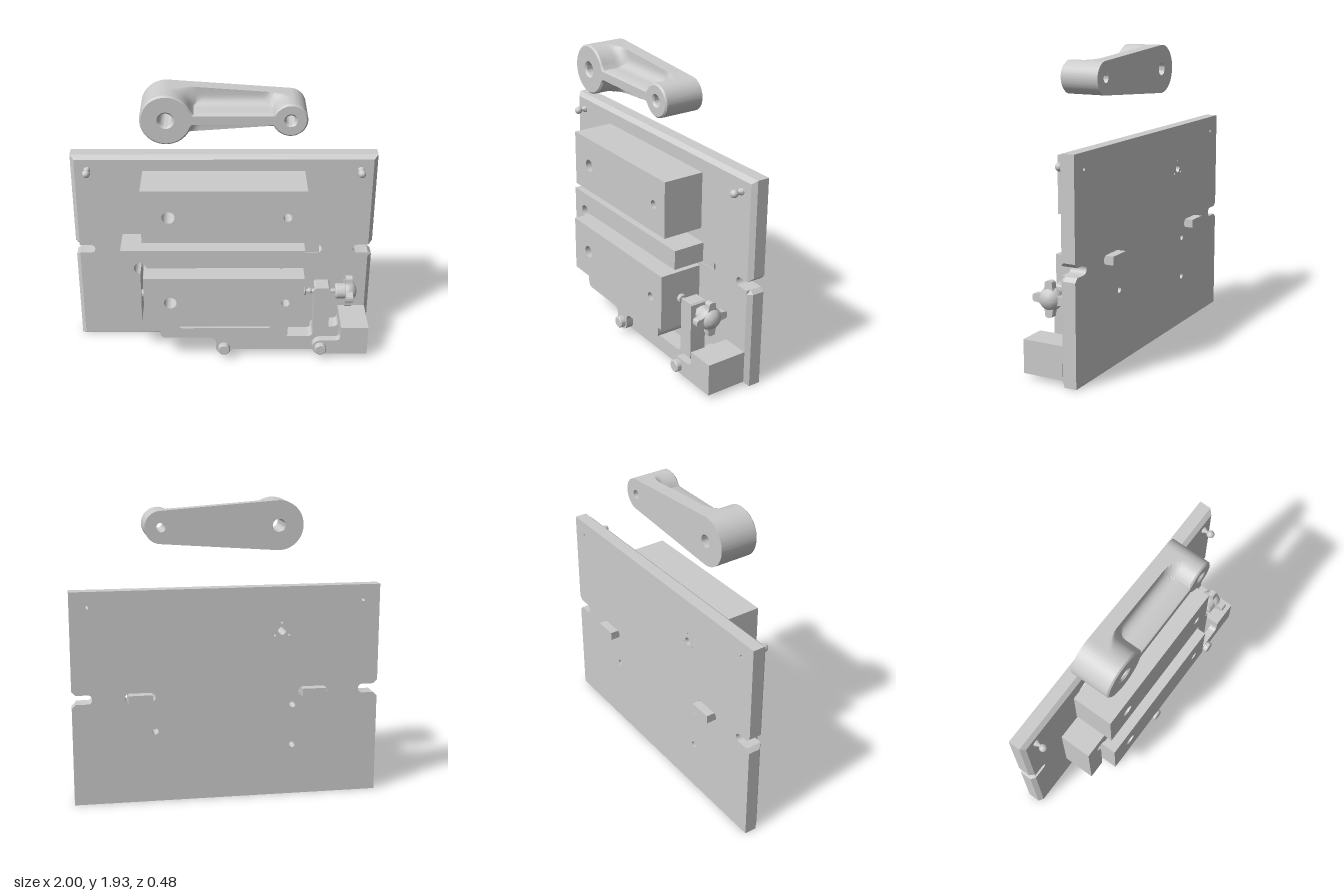
import * as THREE from 'three';
import { toCreasedNormals } from 'three/addons/utils/BufferGeometryUtils.js';

const mat = new THREE.MeshStandardMaterial({ color: 0xcccccc });
const matDouble = new THREE.MeshStandardMaterial({ color: 0xcccccc, side: THREE.DoubleSide });

function add(parent, name, geo, x = 0, y = 0, z = 0, m = mat) {
  const mesh = new THREE.Mesh(geo, m);
  mesh.name = name;
  mesh.position.set(x, y, z);
  parent.add(mesh);
  return mesh;
}

const poly = (pts) => new THREE.Shape(pts.map(([x, y]) => new THREE.Vector2(x, y)));
const rect = (x0, y0, x1, y1) => poly([[x0, y0], [x1, y0], [x1, y1], [x0, y1]]);

function hole(shape, x, y, r) {
  shape.holes.push(new THREE.Path().absarc(x, y, r, 0, Math.PI * 2, true));
  return shape;
}

// Extrude a front profile between two depths
function slab(shape, z0, z1) {
  const g = new THREE.ExtrudeGeometry(shape, { depth: z1 - z0, bevelEnabled: false, curveSegments: 20 });
  return toCreasedNormals(g.translate(0, 0, z0), 0.6);
}

// Turned part; profile is [radius, position along axis]
function turned(points, axis = 'y', segments = 32) {
  const g = new THREE.LatheGeometry(points.map(([r, h]) => new THREE.Vector2(r, h)), segments);
  if (axis === 'x') g.rotateZ(-Math.PI / 2);
  if (axis === 'z') g.rotateX(Math.PI / 2);
  return toCreasedNormals(g, 0.6);
}
const disc = (r, h0, h1, axis, bevel = 0.006) =>
  turned([[0, h0], [r, h0], [r, h1 - bevel], [r - bevel, h1], [0, h1]], axis);

// Base plate: chamfered front rim, side notches, key slots, bolt holes
function basePlate(group) {
  const s = new THREE.Shape();
  s.moveTo(-1, 0).lineTo(1, 0);
  s.lineTo(1, 0.65).lineTo(0.975, 0.675).lineTo(0.9, 0.675);
  s.absarc(0.9, 0.705, 0.03, -Math.PI / 2, Math.PI / 2, true);
  s.lineTo(0.975, 0.735).lineTo(1, 0.76).lineTo(1, 1.4).lineTo(-1, 1.4);
  s.lineTo(-1, 0.76).lineTo(-0.975, 0.735).lineTo(-0.9, 0.735);
  s.absarc(-0.9, 0.705, 0.03, Math.PI / 2, -Math.PI / 2, true);
  s.lineTo(-0.975, 0.675).lineTo(-1, 0.65);
  for (const x of [-0.565, 0.565]) {
    const p = new THREE.Path();
    p.absarc(x - 0.068, 0.705, 0.03, -Math.PI / 2, Math.PI / 2, true);
    p.absarc(x + 0.068, 0.705, 0.03, Math.PI / 2, -Math.PI / 2, true);
    s.holes.push(p);
  }
  for (const [x, y] of [[-0.43, 0.615], [-0.43, 0.34], [0.47, 0.475]]) hole(s, x, y, 0.02);
  for (const x of [-0.89, 0.89]) hole(s, x, 1.3, 0.011);
  hole(s, -0.355, 1.11, 0.026);
  for (let i = 0; i < 3; i++) {
    const a = Math.PI / 2 + i * Math.PI * 2 / 3;
    hole(s, -0.355 + 0.055 * Math.cos(a), 1.11 + 0.055 * Math.sin(a), 0.007);
  }
  const g = new THREE.ExtrudeGeometry(s, { depth: 2, steps: 2, bevelEnabled: false, curveSegments: 16 });
  const p = g.attributes.position;
  for (let i = 0; i < p.count; i++) {
    const layer = Math.round(p.getZ(i));
    if (layer === 2) {
      p.setX(i, THREE.MathUtils.clamp(p.getX(i), -0.973, 0.973));
      p.setY(i, THREE.MathUtils.clamp(p.getY(i), 0.028, 1.374));
    }
    p.setZ(i, [-0.185, -0.105, -0.077][layer]);
  }
  add(group, 'basePlate', toCreasedNormals(g, 0.5));
  for (const x of [-0.565, 0.565])
    add(group, 'backKey', slab(rect(x - 0.078, 0.677, x + 0.078, 0.733), -0.24, -0.08));
}

// Lever arm: hull base, two bosses joined by a rib, filleted pocket floor
function leverArm(group) {
  const a = -0.355, R = 0.16, b = 0.405, r = 0.105, cy = 1.775, n = 120;
  const sin = (R - r) / (b - a), cos = Math.sqrt(1 - sin * sin);
  const circle = (x, c, rad) => Math.sqrt(Math.max(0, rad * rad - (x - c) ** 2));
  const softMax = (u, v, k) => Math.max(u, v) + k * 0.25 * Math.max(0, 1 - Math.abs(u - v) / k) ** 2;
  const hull = (x, inset) => {
    if (x < a + R * sin) return circle(x, a, R - inset);
    if (x > b + r * sin) return circle(x, b, r - inset);
    return (R - inset - sin * (x - a)) / cos;
  };
  const contour = (inset, d) => {
    const x0 = a - R + inset, x1 = b + r - inset, top = [];
    for (let i = 0; i <= n; i++) {
      const x = (x0 + x1) / 2 - (x1 - x0) / 2 * Math.cos(Math.PI * i / n);
      let w = hull(x, inset);
      if (d !== null) {
        const ends = Math.max(circle(x, a, R + d), circle(x, b, r + d));
        w = Math.min(w, softMax(ends, 0.027 + d, 0.07));
      }
      top.push([x, w]);
    }
    return [...top.map(([x, w]) => [x, cy - w]), ...top.slice(1, -1).reverse().map(([x, w]) => [x, cy + w])];
  };
  const levels = [[-0.06, contour(0, null)], [0.03, contour(0, null)]];
  for (let i = 0; i <= 6; i++) {
    const t = i / 6 * Math.PI / 2;
    levels.push([0.03 + 0.07 * (1 - Math.cos(t)), contour(0, 0.07 * (1 - Math.sin(t)))]);
  }
  levels.push([0.195, contour(0, 0)], [0.205, contour(0.01, -0.01)]);
  const pos = [], idx = [], m = levels[0][1].length;
  levels.forEach(([z, c]) => c.forEach(([x, y]) => pos.push(x, y, z)));
  for (let l = 0; l < levels.length - 1; l++)
    for (let i = 0; i < m; i++) {
      const p = l * m + i, q = l * m + (i + 1) % m;
      idx.push(p, q, q + m, p, q + m, p + m);
    }
  const g = new THREE.BufferGeometry();
  g.setAttribute('position', new THREE.Float32BufferAttribute(pos, 3));
  g.setIndex(idx);
  add(group, 'leverArmBody', toCreasedNormals(g, 0.6));
  const cap = (c, big, small) => new THREE.ShapeGeometry(hole(hole(poly(c), a, cy, big), b, cy, small), 24);
  add(group, 'leverArmFront', cap(levels.at(-1)[1], 0.054, 0.042), 0, 0, 0.205);
  add(group, 'leverArmBack', cap(levels[0][1], 0.042, 0.03), 0, 0, -0.06, matDouble);
  for (const [x, rad] of [[a, 0.042], [b, 0.03]])
    add(group, 'leverArmBore', turned([[rad, -0.06], [rad, 0.193], [rad + 0.012, 0.205]], 'z'), x, cy, 0, matDouble);
}

// Knob, screw and swivel pad, running along x
function clampScrew(group) {
  const g = new THREE.Group();
  g.name = 'clampScrew';
  g.position.set(0, 0.475, 0.09);
  add(g, 'swivelPad', disc(0.03, 0.527, 0.55, 'x'));
  add(g, 'swivelNeck', turned([[0.012, 0.55], [0.012, 0.56], [0.02, 0.57], [0.02, 0.58], [0.012, 0.592], [0.016, 0.6], [0.016, 0.76]], 'x'));
  add(g, 'knobHub', turned([[0, 0.745], [0.045, 0.745], [0.053, 0.755], [0.053, 0.82], [0, 0.82]], 'x'));
  add(g, 'knobDome', turned([[0, 0.812], [0.072, 0.812], [0.075, 0.825], [0.072, 0.845], [0.06, 0.867], [0.035, 0.885], [0, 0.892]], 'x'));
  for (let i = 0; i < 4; i++) {
    const arm = new THREE.Shape();
    arm.moveTo(-0.038, 0.05).quadraticCurveTo(-0.025, 0.07, -0.025, 0.1);
    arm.quadraticCurveTo(-0.025, 0.115, 0, 0.115).quadraticCurveTo(0.025, 0.115, 0.025, 0.1);
    arm.quadraticCurveTo(0.025, 0.07, 0.038, 0.05);
    const geo = slab(arm, 0.812, 0.857).rotateZ(i * Math.PI / 2).rotateY(Math.PI / 2);
    add(g, 'knobArm', geo);
  }
  group.add(g);
}

// Rocker profile: U-shaped yoke, optionally with the pivot boss below
function rockerShape(boss) {
  const s = new THREE.Shape();
  s.moveTo(-0.43, 0.285).lineTo(-0.43, 0.205).quadraticCurveTo(-0.43, 0.165, -0.39, 0.165);
  if (boss) {
    s.lineTo(-0.1, 0.165).quadraticCurveTo(-0.055, 0.165, -0.055, 0.12).lineTo(-0.055, 0.085);
    s.absarc(0, 0.085, 0.055, Math.PI, Math.PI * 2, false);
    s.lineTo(0.055, 0.12).quadraticCurveTo(0.055, 0.165, 0.1, 0.165);
  }
  s.lineTo(0.39, 0.165).quadraticCurveTo(0.43, 0.165, 0.43, 0.205).lineTo(0.43, 0.285);
  s.lineTo(0.325, 0.285).quadraticCurveTo(0.32, 0.243, 0.28, 0.243);
  s.lineTo(-0.28, 0.243).quadraticCurveTo(-0.32, 0.243, -0.325, 0.285);
  return s;
}

function clampLinkage(group) {
  // Forked rocker
  add(group, 'rockerBackCheek', slab(rockerShape(true), -0.015, 0.03));
  add(group, 'rockerCore', slab(rockerShape(false), 0.03, 0.145));
  add(group, 'rockerFrontCheek', slab(rockerShape(true), 0.145, 0.197));

  // Bell crank with long arm and upright post
  const c = new THREE.Shape();
  c.moveTo(0, 0.03).lineTo(0.655, 0.03);
  c.absarc(0.655, 0.085, 0.055, -Math.PI / 2, 0, false);
  c.lineTo(0.71, 0.515).lineTo(0.7, 0.525).lineTo(0.615, 0.525).lineTo(0.605, 0.515);
  c.lineTo(0.605, 0.18).quadraticCurveTo(0.605, 0.138, 0.565, 0.138).lineTo(0, 0.138);
  c.absarc(0, 0.084, 0.054, Math.PI / 2, Math.PI * 1.5, false);
  add(group, 'bellCrank', slab(c, 0.032, 0.143));

  // Fixed bracket with two cheeks around the crank pivot
  const k = new THREE.Shape();
  k.moveTo(0.655, 0.03).lineTo(0.975, 0.03).lineTo(0.975, 0.245).lineTo(0.79, 0.245).lineTo(0.79, 0.18);
  k.quadraticCurveTo(0.79, 0.14, 0.75, 0.14).lineTo(0.655, 0.14);
  k.absarc(0.655, 0.085, 0.055, Math.PI / 2, Math.PI * 1.5, false);
  add(group, 'bracketBackCheek', slab(k, -0.077, 0.03));
  add(group, 'bracketCore', slab(rect(0.79, 0.03, 0.975, 0.245), 0.03, 0.145));
  add(group, 'bracketFrontCheek', slab(k, 0.145, 0.197));
  for (const x of [0, 0.655]) add(group, 'pivotPin', disc(0.04, -0.01, 0.232, 'z'), x, 0.085, 0);
}

export function createModel() {
  const group = new THREE.Group();
  group.name = 'clampingFixture';
  basePlate(group);
  leverArm(group);

  // Two drilled blocks
  for (const [name, y0, y1, z0, z1] of [['upperBlock', 0.925, 1.3, -0.06, 0.22], ['lowerBlock', 0.287, 0.665, -0.055, 0.24]]) {
    const s = rect(-0.53, y0, 0.526, y1), y = name === 'upperBlock' ? 1.11 : 0.475;
    add(group, name, slab(hole(hole(s, -0.355, y, 0.042), 0.405, y, 0.028), z0, z1));
  }
  // Seat ring behind the upper block, rest pads behind the lower one
  const ring = hole(new THREE.Shape().absarc(-0.355, 1.11, 0.158, 0, Math.PI * 2), -0.355, 1.11, 0.026);
  add(group, 'seatRing', slab(ring, -0.08, -0.061));
  for (const [x, y] of [[-0.43, 0.615], [-0.43, 0.34], [0.47, 0.475]])
    add(group, 'restPad', disc(0.026, -0.085, -0.055, 'z', 0.004), x, y, 0);

  // L-shaped stop with corner relief and contact pins
  const l = new THREE.Shape();
  l.moveTo(-0.68, 0.27).lineTo(-0.555, 0.27).lineTo(-0.555, 0.645);
  l.absarc(-0.553, 0.685, 0.041, -Math.PI / 2, 0, true);
  l.lineTo(0.53, 0.69).lineTo(0.53, 0.82).lineTo(-0.68, 0.82);
  add(group, 'cornerStop', slab(l, -0.077, 0.143));
  for (const x of [-0.38, 0.38]) add(group, 'topStopPin', turned([[0, -0.025], [0.02, -0.025], [0.028, -0.015], [0.028, 0.01]]), x, 0.69, 0.09);
  add(group, 'sideStopPin', turned([[0.027, -0.01], [0.027, 0.017], [0.02, 0.025], [0, 0.025]], 'x'), -0.555, 0.455, 0.09, matDouble);

  // Ball studs in the upper corners
  for (const x of [-0.89, 0.89]) {
    add(group, 'studStem', turned([[0.022, -0.08], [0.022, -0.068], [0.011, -0.05], [0.011, -0.02]], 'z'), x, 1.3, 0, matDouble);
    add(group, 'studBall', new THREE.SphereGeometry(0.026, 24, 16), x, 1.3, -0.02);
  }

  clampLinkage(group);
  clampScrew(group);
  return group;
}
